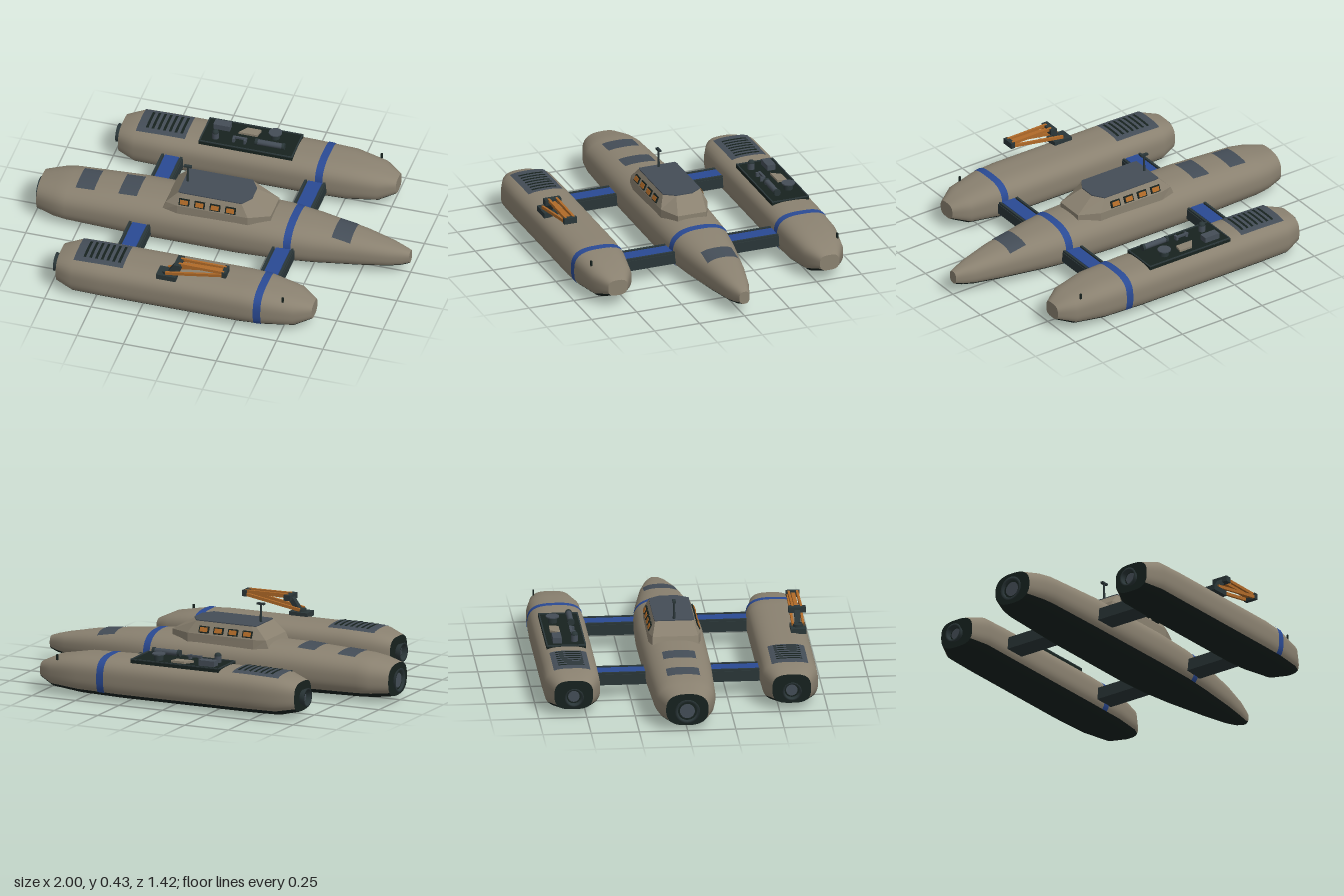
import * as THREE from 'three';

const mat = (name, color) => {
  const m = new THREE.MeshStandardMaterial({ color });
  m.name = name;
  return m;
};

export function createModel() {
  const root = new THREE.Group();
  root.name = 'trimaran';
  const hullPaint = mat('hull taupe', 0x8a8170);
  const dark = mat('dark underside', 0x17221f);
  const slate = mat('deck slate', 0x444d57);
  const gun = mat('gunmetal', 0x2a3638);
  const blue = mat('stripe blue', 0x2a4a94);
  const orange = mat('crane orange', 0xb06a28);

  const add = (name, geo, m, x = 0, y = 0, z = 0, parent = root) => {
    const mesh = new THREE.Mesh(geo, m);
    mesh.name = name;
    mesh.position.set(x, y, z);
    parent.add(mesh);
    return mesh;
  };
  const box = (name, m, x, y, z, w, h, d) => add(name, new THREE.BoxGeometry(w, h, d), m, x, y, z);
  const surface = (pos, idx) => {
    const g = new THREE.BufferGeometry();
    g.setAttribute('position', new THREE.Float32BufferAttribute(pos, 3));
    g.setIndex(idx);
    g.computeVertexNormals();
    return g;
  };

  // Hull stations are [x, bottom, top, half width]; sections are superellipses
  const SEG = 48;
  const at = (hull, x) => {
    const s = hull.stations;
    let k = 0;
    while (k < s.length - 2 && x > s[k + 1][0]) k++;
    const t = (x - s[k][0]) / (s[k + 1][0] - s[k][0]);
    const [bot, top, w] = [1, 2, 3].map(j => THREE.MathUtils.lerp(s[k][j], s[k + 1][j], t));
    return { cy: (bot + top) / 2, h: (top - bot) / 2, w };
  };
  const point = (hull, x, i, grow = 0) => {
    const { cy, h, w } = at(hull, x), a = (i / SEG) * Math.PI * 2;
    const c = Math.cos(a), s = Math.sin(a), n = hull.power;
    const r = (Math.abs(c) ** n + Math.abs(s) ** n) ** (-1 / n);
    return [x, cy + (h + grow) * s * r, hull.z + (w + grow) * c * r];
  };
  const shell = (hull, xs, i0, i1, grow) => {
    const pos = [], idx = [], row = i1 - i0 + 1;
    xs.forEach((x, s) => {
      for (let i = i0; i <= i1; i++) pos.push(...point(hull, x, i, grow));
      if (s === 0) return;
      for (let i = 0; i < row - 1; i++) {
        const a = (s - 1) * row + i, b = a + row;
        idx.push(a, b, b + 1, a, b + 1, a + 1);
      }
    });
    return surface(pos, idx);
  };
  const cap = (hull, x, bow) => {
    const pos = [x, at(hull, x).cy, hull.z], idx = [];
    for (let i = 0; i < SEG; i++) {
      pos.push(...point(hull, x, i));
      const a = i + 1, b = ((i + 1) % SEG) + 1;
      idx.push(0, bow ? b : a, bow ? a : b);
    }
    return surface(pos, idx);
  };
  // Thin plate following the deck curve
  const deckPlate = (name, hull, m, x, z, w, d, lift) => {
    const g = new THREE.PlaneGeometry(w, d, 8, 12).rotateX(-Math.PI / 2).translate(x, 0, z);
    const p = g.attributes.position;
    for (let i = 0; i < p.count; i++) {
      const s = at(hull, p.getX(i));
      const u = Math.min(1, Math.abs(p.getZ(i) / s.w));
      p.setY(i, s.cy + s.h * (1 - u ** hull.power) ** (1 / hull.power) + lift);
    }
    g.computeVertexNormals();
    add(name, g, m, 0, 0, hull.z);
  };

  const sideStations = tip => [
    [-0.715, 0.04, 0.195, 0.1], [-0.62, 0.018, 0.226, 0.145], [-0.45, 0.015, 0.23, 0.147],
    [0.28, 0.015, 0.23, 0.147], [tip - 0.25, 0.02, 0.224, 0.14],
    [tip - 0.085, 0.035, 0.195, 0.11], [tip, 0.07, 0.155, 0.053]];
  const hulls = [
    { name: 'centerHull', z: 0, power: 2.6, nozzle: 0.065, depth: 0.02, stations: [
      [-0.985, 0.03, 0.2, 0.11], [-0.89, 0.018, 0.222, 0.148], [-0.82, 0.014, 0.232, 0.16],
      [-0.45, 0.006, 0.25, 0.172], [0.1, 0.006, 0.252, 0.175], [0.33, 0.012, 0.246, 0.166],
      [0.5, 0.02, 0.232, 0.145], [0.75, 0.037, 0.202, 0.1], [0.9, 0.05, 0.172, 0.065],
      [0.96, 0.06, 0.157, 0.043], [1, 0.075, 0.143, 0.028]] },
    { name: 'leftHull', z: 0.565, power: 3, nozzle: 0.05, depth: 0.03, stations: sideStations(0.65) },
    { name: 'rightHull', z: -0.565, power: 3, nozzle: 0.05, depth: 0.03, stations: sideStations(0.768) }];

  for (const h of hulls) {
    const xs = h.stations.map(s => s[0]), stern = xs[0], bow = xs[xs.length - 1];
    add(h.name + 'Topside', shell(h, xs, -5, 29, 0), hullPaint);
    add(h.name + 'Bottom', shell(h, xs, 29, 43, 0), dark);
    add(h.name + 'Bow', cap(h, bow, true), hullPaint);
    add(h.name + 'Stern', cap(h, stern, false), dark);
    add(h.name + 'Stripe', shell(h, [0.36, 0.38, 0.4], -5, 29, 0.003), blue);
    // Stern nozzle: flared ring with a recessed disc
    const cy = at(h, stern).cy - 0.006, r = h.nozzle;
    const ring = [[r * 0.75, 0.006], [r * 0.8, h.depth], [r, h.depth], [r * 0.75, -0.004]]
      .map(p => new THREE.Vector2(...p));
    const tube = new THREE.LatheGeometry(ring, 24);
    const nozzle = add(h.name + 'Nozzle', tube, gun, stern, cy, h.z);
    nozzle.rotation.z = Math.PI / 2;
    nozzle.scale.y = 0.015 / h.depth * (h.z ? 2 : 1);
    gun.side = THREE.DoubleSide;
    const disc = add(h.name + 'NozzleDisc', new THREE.CircleGeometry(r * 0.6, 24), slate, stern - 0.004, cy, h.z);
    disc.rotation.y = -Math.PI / 2;
  }
  const [center, left, right] = hulls;

  // Deck hatches and engine louvres
  for (const x of [-0.73, -0.5, 0.65]) deckPlate('deckHatch', center, slate, x, 0, 0.1, 0.17, 0.003);
  for (const h of [left, right]) {
    deckPlate('louvrePanel', h, slate, -0.488, 0, 0.265, 0.19, 0.005);
    for (let i = 0; i < 7; i++) deckPlate('louvreSlot', h, dark, -0.568 + i * 0.031, 0, 0.014, 0.135, 0.008);
  }

  // Cross beams with blue walkways and edge rails
  for (const side of [-1, 1]) for (const x of [-0.41, 0.36]) {
    const z = side * 0.295;
    box('crossBeam', gun, x, 0.107, z, 0.12, 0.056, 0.29);
    box('beamWalkway', blue, x, 0.138, z, 0.075, 0.008, 0.29);
    for (const e of [-1, 1]) box('beamRail', gun, x + e * 0.05, 0.139, z, 0.012, 0.012, 0.29);
  }

  // Deckhouse: stacked outlines, faceted, given as [x, half width]
  const levels = [
    [0.22, [[-0.305, 0.12], [-0.22, 0.135], [0.16, 0.13], [0.27, 0.08]]],
    [0.27, [[-0.285, 0.118], [-0.22, 0.134], [0.16, 0.13], [0.27, 0.08]]],
    [0.333, [[-0.222, 0.1], [-0.2, 0.104], [0.12, 0.104], [0.16, 0.045]]]];
  const outline = half => [...half, ...half.slice().reverse().map(([x, z]) => [x, -z])];
  const pos = [], idx = [];
  levels.forEach(([y, half], k) => {
    outline(half).forEach(([x, z]) => pos.push(x, y, z));
    if (k) for (let i = 0; i < 8; i++) {
      const a = (k - 1) * 8 + i, b = (k - 1) * 8 + (i + 1) % 8;
      idx.push(a, b, b + 8, a, b + 8, a + 8);
    }
  });
  const house = surface(pos, idx).toNonIndexed();
  house.computeVertexNormals();
  add('deckhouse', house, hullPaint);
  const roofShape = new THREE.Shape(outline(levels[2][1]).map(([x, z]) => new THREE.Vector2(x, z)));
  const roof = new THREE.ExtrudeGeometry(roofShape, { depth: 0.006, bevelEnabled: false }).rotateX(-Math.PI / 2);
  add('deckhouseRoof', roof, slate, 0, 0.332, 0);

  // Side windows in dark frames
  for (const side of [-1, 1]) for (let i = 0; i < 4; i++) {
    const x = -0.183 + i * 0.083, tilt = -side * 0.42;
    const frame = box('windowFrame', dark, x, 0.294, side * 0.124, 0.056, 0.036, 0.009);
    const pane = box('windowPane', orange, x, 0.2945, side * 0.1275, 0.042, 0.024, 0.009);
    frame.rotation.x = pane.rotation.x = tilt;
  }

  // Mast
  add('mast', new THREE.CylinderGeometry(0.005, 0.007, 0.095, 10), gun, -0.2, 0.383, 0);
  box('mastHead', gun, -0.2, 0.433, 0, 0.042, 0.01, 0.016);

  // Equipment tray on the right hull
  const tz = right.z;
  box('equipmentTray', dark, -0.028, 0.222, tz, 0.505, 0.022, 0.205);
  for (const e of [-1, 1]) {
    box('trayLip', gun, -0.028, 0.234, tz + e * 0.099, 0.505, 0.008, 0.007);
    box('trayLip', gun, -0.028 + e * 0.249, 0.234, tz, 0.007, 0.008, 0.205);
  }
  box('equipmentCase', slate, -0.193, 0.248, tz - 0.043, 0.088, 0.03, 0.046);
  const wedge = new THREE.Shape([[-0.055, -0.025], [0.045, -0.025], [0.055, 0.025], [-0.02, 0.025]]
    .map(p => new THREE.Vector2(...p)));
  add('equipmentWedge', new THREE.ExtrudeGeometry(wedge, { depth: 0.012, bevelEnabled: false })
    .rotateX(-Math.PI / 2), hullPaint, -0.045, 0.233, tz - 0.041);
  const drum = (name, m, x, y, z, r, h) => add(name, new THREE.CylinderGeometry(r, r, h, 20), m, x, y, z);
  drum('spoolCore', gun, 0.092, 0.248, tz - 0.04, 0.024, 0.03);
  drum('spoolFlange', slate, 0.092, 0.266, tz - 0.04, 0.035, 0.006);
  drum('gasBottle', slate, 0.09, 0.257, tz + 0.05, 0.015, 0.13).rotation.z = Math.PI / 2;
  for (const x of [0.018, 0.162]) drum('bottleCollar', gun, x, 0.257, tz + 0.05, 0.018, 0.014).rotation.z = Math.PI / 2;
  drum('smallPump', slate, -0.205, 0.25, tz + 0.048, 0.018, 0.034);
  add('pumpDome', new THREE.SphereGeometry(0.018, 16, 10), gun, -0.205, 0.267, tz + 0.048);
  box('bracketBar', slate, -0.075, 0.253, tz + 0.04, 0.075, 0.01, 0.012);
  for (const e of [-1, 1]) box('bracketLeg', slate, -0.075 + e * 0.03, 0.244, tz + 0.05, 0.012, 0.024, 0.022);

  // Folding crane on the left hull
  const cz = 0.65;
  const bar = (name, m, a, b, h, d, z) => {
    const mesh = box(name, m, (a[0] + b[0]) / 2, (a[1] + b[1]) / 2, z, Math.hypot(b[0] - a[0], b[1] - a[1]), h, d);
    mesh.rotation.z = Math.atan2(b[1] - a[1], b[0] - a[0]);
  };
  box('craneBase', gun, -0.115, 0.234, cz, 0.105, 0.028, 0.08);
  drum('craneTurntable', gun, -0.115, 0.253, cz, 0.028, 0.016);
  bar('cranePost', gun, [-0.1, 0.255], [-0.05, 0.325], 0.026, 0.03, cz);
  box('cranePivot', gun, -0.053, 0.318, cz, 0.036, 0.03, 0.09);
  for (const e of [-1, 1]) {
    bar('craneLowerArm', orange, [-0.12, 0.258], [0.195, 0.312], 0.016, 0.012, cz + e * 0.027);
    bar('craneUpperArm', orange, [-0.05, 0.328], [0.195, 0.325], 0.016, 0.012, cz + e * 0.022);
  }
  bar('craneRam', orange, [-0.05, 0.315], [0.18, 0.32], 0.014, 0.02, cz);
  box('craneElbow', gun, 0.196, 0.316, cz, 0.024, 0.032, 0.07);

  // Small bow cleats
  box('bowCleat', dark, 0.65, 0.2, -0.655, 0.01, 0.03, 0.008);
  box('bowCleat', dark, 0.505, 0.203, 0.655, 0.01, 0.03, 0.008);

  return root;
}
